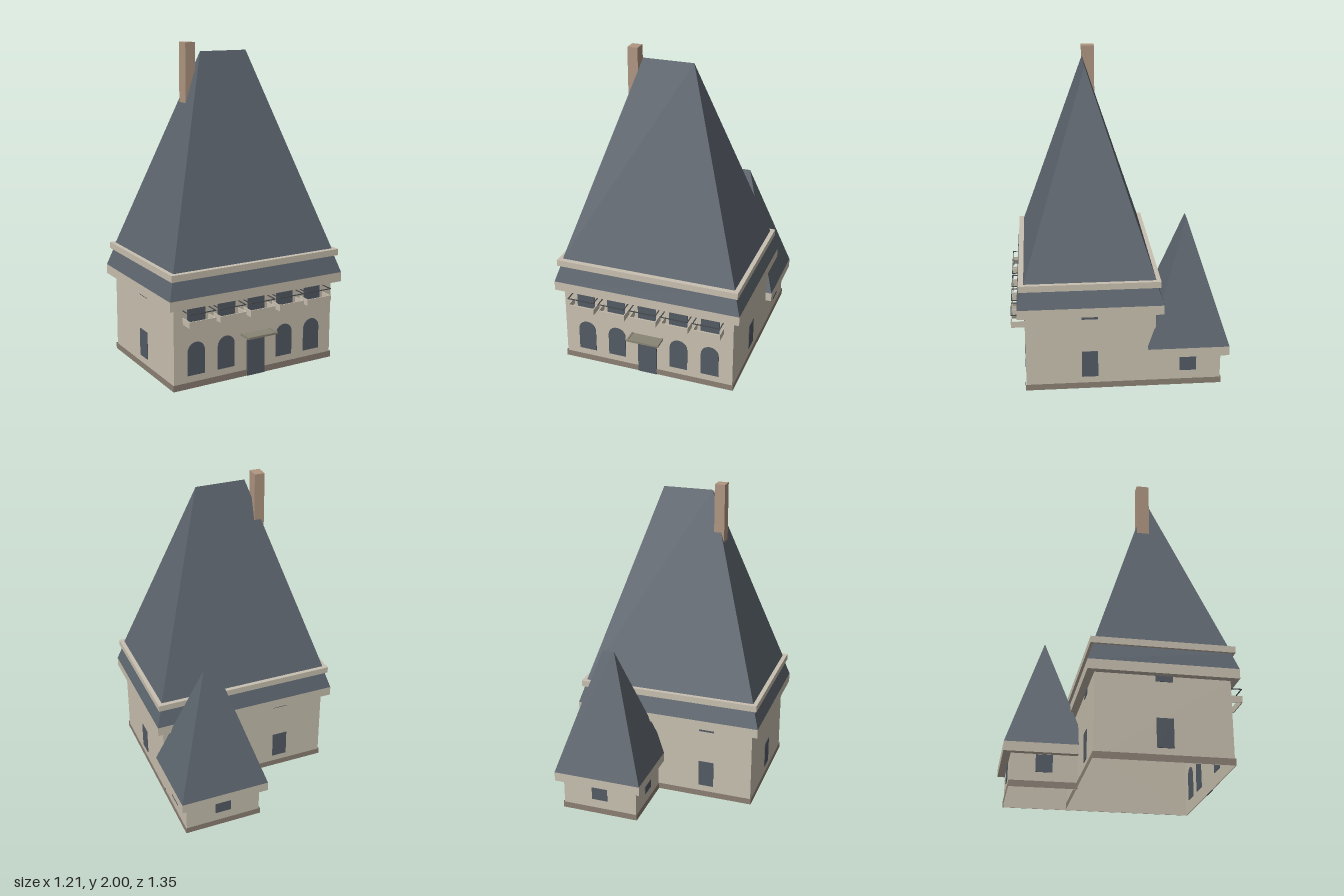
import * as THREE from 'three';

const mat = (name, color, side = THREE.FrontSide) => {
  const m = new THREE.MeshStandardMaterial({ side });
  m.name = name;
  m.color.setHex(color);
  return m;
};

export function createModel() {
  const model = new THREE.Group();
  model.name = 'house';

  const wall = mat('wallStone', 0xc8c0b0, THREE.DoubleSide);
  const plinth = mat('plinthStone', 0x8c8074, THREE.DoubleSide);
  const slate = mat('roofSlate', 0x5c646d);
  const glass = mat('darkOpening', 0x535b64);
  const brick = mat('chimneyBrick', 0xb09681);
  const iron = mat('railIron', 0x45484c);
  const canopyMat = mat('canopyStone', 0x8a8575);

  const add = (parent, name, geo, material, x = 0, y = 0, z = 0) => {
    const m = new THREE.Mesh(geo, material);
    m.name = name;
    m.position.set(x, y, z);
    parent.add(m);
    return m;
  };

  // Box given by its limits
  const box = (parent, name, material, x0, x1, y0, y1, z0, z1) =>
    add(parent, name, new THREE.BoxGeometry(x1 - x0, y1 - y0, z1 - z0), material,
      (x0 + x1) / 2, (y0 + y1) / 2, (z0 + z1) / 2);

  // Four walls without floor or ceiling
  const walls = (...args) => {
    const m = box(model, ...args);
    const index = Array.from(m.geometry.index.array);
    m.geometry.setIndex([...index.slice(0, 12), ...index.slice(24)]);
    m.geometry.clearGroups();
    return m;
  };

  // Sloping roof: a box whose top is drawn in to a smaller rectangle or a ridge
  const roof = (name, cx, cz, y0, y1, [w0, d0], [w1, d1]) => {
    const geo = new THREE.BoxGeometry(w0, y1 - y0, d0);
    const p = geo.attributes.position;
    for (let i = 0; i < p.count; i++) {
      if (p.getY(i) > 0) {
        p.setX(i, Math.sign(p.getX(i)) * w1 / 2);
        p.setZ(i, Math.sign(p.getZ(i)) * d1 / 2);
      }
    }
    if (d1 === 0) { // a ridge needs no top face
      const index = Array.from(geo.index.array);
      geo.setIndex([...index.slice(0, 12), ...index.slice(18)]);
      geo.clearGroups();
    }
    geo.computeVertexNormals();
    return add(model, name, geo, slate, cx, (y0 + y1) / 2, cz);
  };

  // Main block
  const CZ = 0.18;
  walls('mainWalls', wall, -0.56, 0.56, 0, 0.515, -0.22, 0.58);
  walls('mainPlinth', plinth, -0.566, 0.566, 0, 0.04, -0.226, 0.586);
  box(model, 'mainEave', wall, -0.605, 0.605, 0.51, 0.57, -0.265, 0.625);
  roof('skirtRoof', 0, CZ, 0.57, 0.68, [1.21, 0.89], [1.14, 0.82]);
  box(model, 'roofBand', wall, -0.587, 0.587, 0.68, 0.72, -0.247, 0.612);
  roof('mainRoof', 0, CZ, 0.72, 1.945, [1.12, 0.8], [0.32, 0]);
  box(model, 'chimney', brick, -0.26, -0.195, 1.5, 2, 0.1, 0.18);

  // Rear wing
  const WX = 0.315, WZ = -0.425;
  walls('wingWalls', wall, 0.07, 0.56, 0, 0.215, -0.63, -0.22);
  walls('wingPlinth', plinth, 0.064, 0.566, 0, 0.04, -0.636, -0.22);
  box(model, 'wingEave', wall, 0.03, 0.6, 0.21, 0.27, -0.677, -0.173);
  roof('wingRoof', WX, WZ, 0.27, 1.04, [0.57, 0.504], [0.075, 0]);

  // Arched ground-floor windows
  const arch = new THREE.Shape();
  arch.moveTo(-0.058, 0);
  arch.lineTo(0.058, 0);
  arch.lineTo(0.058, 0.147);
  arch.absarc(0, 0.147, 0.058, 0, Math.PI, false);
  arch.closePath();
  const archGeo = new THREE.ExtrudeGeometry(arch, { depth: 0.008, bevelEnabled: false, curveSegments: 5 });
  for (const x of [-0.412, -0.207, 0.207, 0.412]) {
    add(model, 'archedWindow', archGeo, glass, x, 0.08, 0.576);
  }

  // Door and canopy
  box(model, 'door', glass, -0.062, 0.062, 0, 0.24, 0.581, 0.59);
  const canopy = new THREE.Group();
  canopy.name = 'doorCanopy';
  model.add(canopy);
  box(canopy, 'canopySlab', canopyMat, -0.095, 0.095, 0.268, 0.274, 0.58, 0.662);
  box(canopy, 'canopyFrontRim', canopyMat, -0.105, 0.105, 0.266, 0.279, 0.66, 0.672);
  for (const s of [-1, 1]) {
    const x = s * 0.1;
    box(canopy, 'canopySideRim', canopyMat, x - 0.005, x + 0.005, 0.266, 0.279, 0.58, 0.66);
  }

  // Open three-sided frame standing out from the front wall
  const frame = (parent, name, material, x, y0, y1, t) => {
    const half = 0.088, front = 0.665;
    box(parent, name + 'Front', material, x - half, x + half, y0, y1, front - t, front);
    for (const s of [-1, 1]) {
      const sx = x + s * (half - t / 2);
      box(parent, name + 'Side', material, sx - t / 2, sx + t / 2, y0, y1, 0.58, front - t);
    }
  };

  // Upper windows with balconies
  for (const x of [-0.412, -0.207, 0, 0.207, 0.412]) {
    const balcony = new THREE.Group();
    balcony.name = 'balcony';
    model.add(balcony);
    box(balcony, 'upperWindow', glass, x - 0.06, x + 0.06, 0.395, 0.51, 0.577, 0.584);
    frame(balcony, 'parapet', wall, x, 0.405, 0.445, 0.006);
    frame(balcony, 'rail', iron, x, 0.486, 0.491, 0.005);
  }

  // Plain windows on the sides and back, with slots under the eave
  const T = 0.004;
  for (const [y0, y1] of [[0.08, 0.255], [0.475, 0.51]]) {
    for (const s of [-1, 1]) {
      const x = s * (0.561 + T / 2);
      box(model, 'sideWindow', glass, x - T / 2, x + T / 2, y0, y1, 0.135, 0.235);
      box(model, 'backWindow', glass, s * 0.26 - 0.05, s * 0.26 + 0.05, y0, y1, -0.221 - T, -0.221);
    }
  }
  for (const s of [-1, 1]) {
    const x = WX + s * (0.246 + T / 2);
    box(model, 'wingSideWindow', glass, x - T / 2, x + T / 2, 0.097, 0.207, WZ - 0.052, WZ + 0.052);
  }
  box(model, 'wingBackWindow', glass, WX - 0.052, WX + 0.052, 0.097, 0.207, -0.631 - T, -0.631);

  return model;
}
